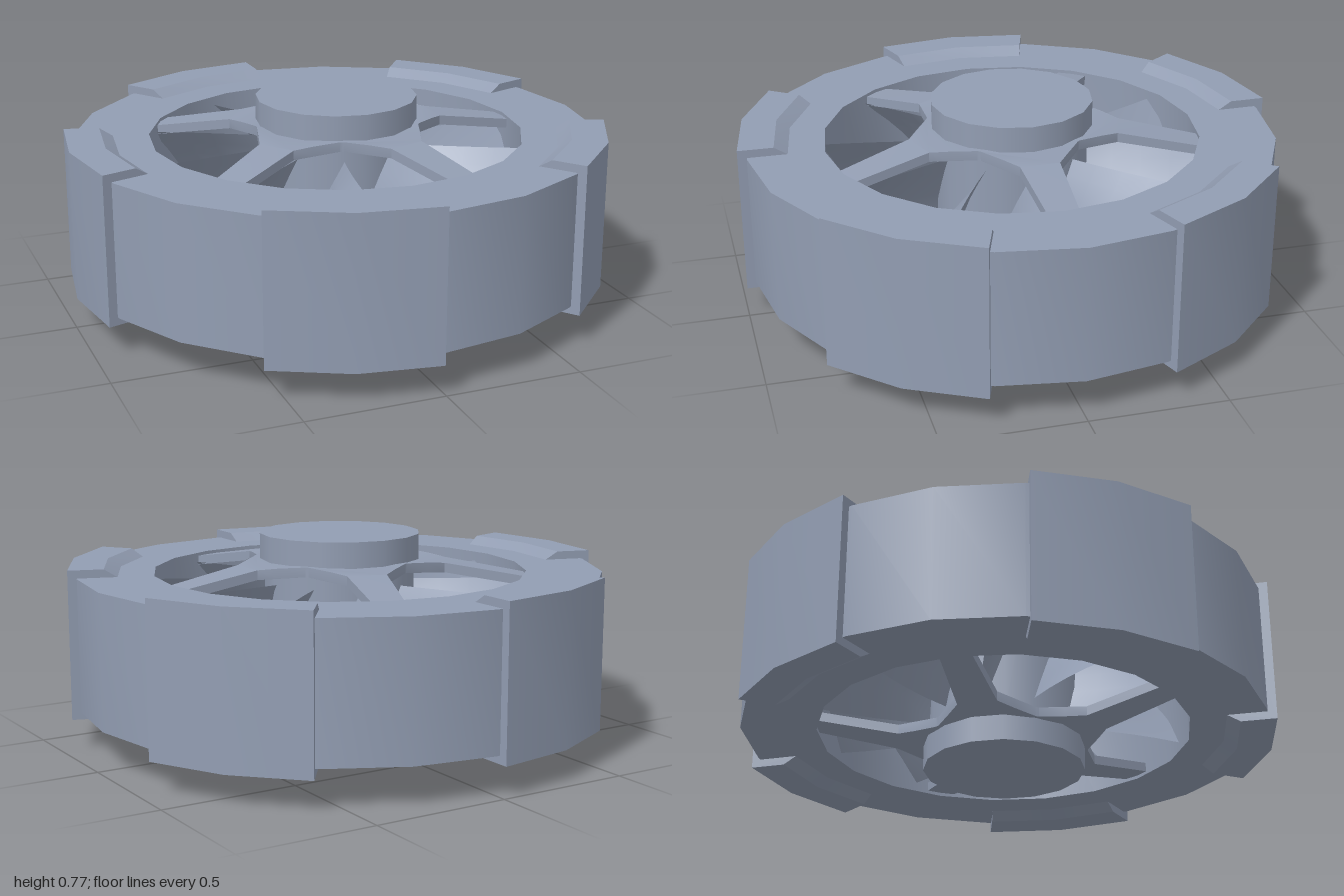
import * as THREE from 'three';
import { toCreasedNormals } from 'three/addons/utils/BufferGeometryUtils.js';

const RAD = Math.PI / 180;
const MID = 0.385; // half of the total height
const metal = new THREE.MeshStandardMaterial({ color: 0x929db2, side: THREE.DoubleSide });
metal.name = 'blueGreyMetal';

function add(parent, name, geometry) {
  const mesh = new THREE.Mesh(geometry, metal);
  mesh.name = name;
  parent.add(mesh);
  return mesh;
}

// closed (radius, y) section turned about the y axis
function turned(section, segments, sweep = 360) {
  const points = [...section, section[0]].map(([r, y]) => new THREE.Vector2(r, y));
  const g = new THREE.LatheGeometry(points, segments, Math.PI / 2, sweep * RAD);
  return toCreasedNormals(g.toNonIndexed(), 30 * RAD);
}

// five flared spokes around a hub ring, dropping towards the rim
function spiderGeometry() {
  const outline = [];
  const flare = [[0.39, 0.072], [0.33, 0.12], [0.255, 0.178]];
  for (let i = 0; i < 5; i++) {
    const a = i * 72 * RAD;
    const spoke = [
      ...flare.slice().reverse().map(([x, y]) => [x, -y]),
      [0.70, -0.055], [0.70, 0.055],
      ...flare,
    ];
    for (const [x, y] of spoke) {
      outline.push(new THREE.Vector2(x * Math.cos(a) - y * Math.sin(a), x * Math.sin(a) + y * Math.cos(a)));
    }
  }
  const g = new THREE.ExtrudeGeometry(new THREE.Shape(outline), { depth: 0.035, bevelEnabled: false });
  g.rotateX(-Math.PI / 2);
  const p = g.attributes.position;
  for (let i = 0; i < p.count; i++) {
    const r = Math.hypot(p.getX(i), p.getZ(i));
    p.setY(i, p.getY(i) + 0.26 - Math.max(0, r - 0.32) * 0.17);
  }
  return toCreasedNormals(g, 25 * RAD);
}

// pitched, slightly swept blade, narrower in angle at the rim than at the hub
function bladeGeometry() {
  const g = new THREE.PlaneGeometry(1, 1, 6, 4);
  const p = g.attributes.position;
  for (let i = 0; i < p.count; i++) {
    const u = p.getX(i), v = p.getY(i) + 0.5;
    const r = 0.27 + 0.42 * v;
    const a = (u * (38 - 5.5 * v) - 6 * (1 - v)) * RAD;
    const y = u * 0.42 + 0.03 * Math.cos(u * Math.PI);
    p.setXYZ(i, r * Math.cos(a), y, -r * Math.sin(a));
  }
  g.computeVertexNormals();
  return g;
}

export function createModel() {
  const model = new THREE.Group();
  model.name = 'wheel';
  const wheel = new THREE.Group();
  wheel.name = 'wheelAssembly';
  wheel.position.set(0.008, MID, 0);
  model.add(wheel);

  // rim
  add(wheel, 'rim', turned([[0.69, -0.245], [0.968, -0.245], [0.968, 0.245], [0.69, 0.245]], 20));

  // raised treads, wrapped over the rim edges
  const tread = [[0.82, -0.244], [0.87, -0.275], [1, -0.275], [1, 0.275], [0.87, 0.275], [0.82, 0.244]];
  const treadGeometry = turned(tread, 2, 34.4);
  const endGeometry = new THREE.ShapeGeometry(new THREE.Shape(tread.map(([r, y]) => new THREE.Vector2(r, y))));
  for (let i = 0; i < 5; i++) {
    const group = new THREE.Group();
    group.name = 'tread';
    group.rotation.y = (18.8 + i * 72) * RAD;
    add(group, 'treadBlock', treadGeometry);
    add(group, 'treadStart', endGeometry);
    add(group, 'treadEnd', endGeometry).rotation.y = 34.4 * RAD;
    wheel.add(group);
  }

  // hub core
  add(wheel, 'hubCore', new THREE.CylinderGeometry(0.28, 0.28, 0.56, 16));

  // hub caps and spokes on both faces
  const capGeometry = new THREE.CylinderGeometry(0.297, 0.297, 0.1, 16);
  const spider = spiderGeometry();
  for (const side of ['top', 'bottom']) {
    const face = new THREE.Group();
    face.name = side + 'Face';
    if (side === 'bottom') face.rotation.x = Math.PI;
    add(face, side + 'HubCap', capGeometry).position.y = 0.335;
    add(face, side + 'Spokes', spider);
    wheel.add(face);
  }

  // fan blades
  const blade = bladeGeometry();
  for (let i = 0; i < 10; i++) {
    add(wheel, 'fanBlade', blade).rotation.y = (25.5 + i * 36) * RAD;
  }
  return model;
}
